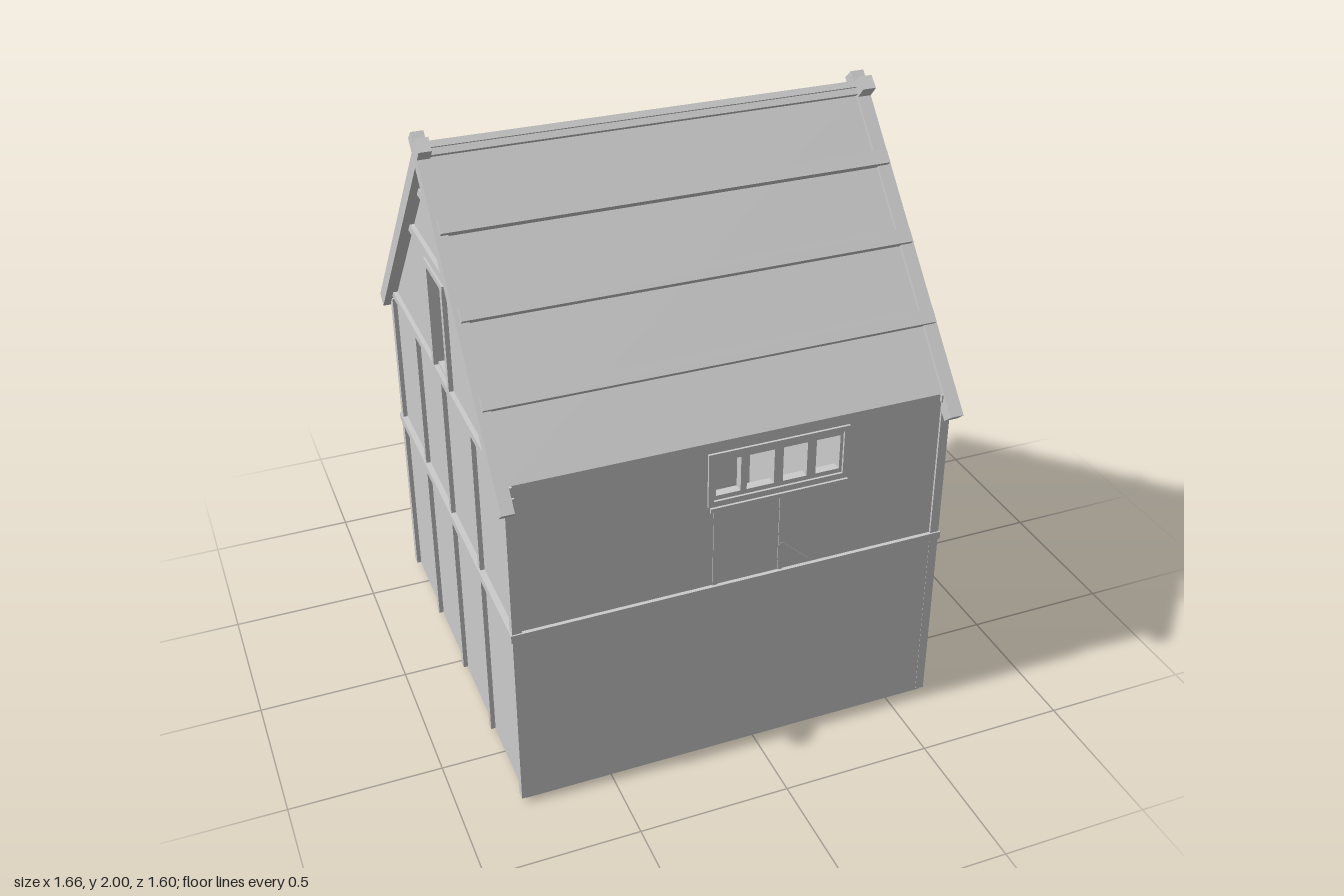
import * as THREE from 'three';

const material = new THREE.MeshStandardMaterial({ color: 0xcccccc, flatShading: true });
const RIDGE_Z = 0.06;
const SLOPE = Math.atan(1.117);

export function createModel() {
  const house = new THREE.Group();
  house.name = 'timberHouse';

  function add(name, geometry, parent = house) {
    const mesh = new THREE.Mesh(geometry, material);
    mesh.name = name;
    parent.add(mesh);
    return mesh;
  }

  // Box given by its lower and upper limits on each axis
  function box(name, x0, x1, y0, y1, z0, z1, parent) {
    const g = new THREE.BoxGeometry(x1 - x0, y1 - y0, z1 - z0);
    g.translate((x0 + x1) / 2, (y0 + y1) / 2, (z0 + z1) / 2);
    return add(name, g, parent);
  }

  // Flat wall with rectangular openings [u0, u1, v0, v1]
  function wallGeometry(points, openings, depth) {
    const shape = new THREE.Shape(points.map(([u, v]) => new THREE.Vector2(u, v)));
    for (const [u0, u1, v0, v1] of openings) {
      shape.holes.push(new THREE.Path([[u0, v0], [u0, v1], [u1, v1], [u1, v0]].map(([u, v]) => new THREE.Vector2(u, v))));
    }
    return new THREE.ExtrudeGeometry(shape, { depth, bevelEnabled: false });
  }

  // A row of equal panes between x0 and x1
  function paneRow(x0, x1, y0, y1, count, gap) {
    const w = (x1 - x0 - gap * (count - 1)) / count;
    return Array.from({ length: count }, (_, i) => [x0 + i * (w + gap), x0 + i * (w + gap) + w, y0, y1]);
  }

  // Straight square strut between two points
  function strut(name, a, b, size) {
    const from = new THREE.Vector3(...a), to = new THREE.Vector3(...b);
    const mesh = add(name, new THREE.BoxGeometry(size, size, from.distanceTo(to)));
    mesh.position.copy(from).add(to).multiplyScalar(0.5);
    mesh.lookAt(to);
  }

  // Four thin bars around an opening on a front or back wall
  function frame(name, x0, x1, y0, y1, z0, z1, t = 0.018) {
    box(name, x0 - t, x1 + t, y1, y1 + t, z0, z1);
    box(name, x0 - t, x1 + t, y0 - t, y0, z0, z1);
    box(name, x0 - t, x0, y0, y1, z0, z1);
    box(name, x1, x1 + t, y0, y1, z0, z1);
  }

  // Front and back walls
  const rect = [[-0.79, 0.02], [0.61, 0.02], [0.61, 1.19], [-0.79, 1.19]];
  const frontPanes = [[-0.15, -0.07, 1, 1.12], [-0.05, 0.04, 1, 1.12], [0.07, 0.15, 1, 1.12], [0.18, 0.26, 1, 1.12]];
  add('frontWall', wallGeometry(rect, frontPanes, 0.03)).position.z = 0.71;
  const door = [0.21, 0.35, 0.025, 0.39];
  add('backWall', wallGeometry(rect, [
    ...paneRow(0.24, 0.43, 0.95, 1.02, 3, 0.02),
    ...paneRow(-0.44, 0.04, 1.02, 1.09, 5, 0.025),
    ...paneRow(-0.13, 0.05, 0.21, 0.31, 3, 0.018),
    ...paneRow(-0.72, -0.5, 0.21, 0.31, 4, 0.018),
    door,
  ], 0.03)).position.z = -0.62;

  // Gable walls with a loft opening each
  const gable = [[-0.62, 0.02], [0.74, 0.02], [0.74, 1.15], [RIDGE_Z, 1.91], [-0.62, 1.15]];
  for (const x of [0.61, -0.76]) {
    const g = wallGeometry(gable, [[-0.02, 0.14, 1.2, 1.53]], 0.03);
    g.rotateY(-Math.PI / 2);
    add('gableWall', g).position.x = x;
  }

  // Floor, ground beams and plain lower storey facing
  box('floor', -0.79, 0.62, 0.015, 0.035, -0.62, 0.745);
  for (const z of [0.3, -0.235]) box('groundBeam', -0.48, 0.6, 0, 0.02, z - 0.01, z + 0.01);
  box('rightPlinth', 0.605, 0.632, 0.02, 0.65, -0.625, 0.747);
  box('frontPlinth', -0.79, 0.632, 0.02, 0.65, 0.735, 0.747);

  // Corner posts
  for (const [x0, x1] of [[-0.805, -0.775], [0.605, 0.635]]) {
    box('cornerPost', x0, x1, 0.02, 1.15, 0.72, 0.748);
    box('cornerPost', x0, x1, 0.02, 1.15, -0.632, -0.6);
  }

  // Storey band around the house
  box('storeyBand', -0.81, 0.64, 0.645, 0.672, 0.73, 0.753);
  box('storeyBand', -0.81, 0.64, 0.645, 0.672, -0.637, -0.61);
  box('storeyBand', 0.6, 0.64, 0.645, 0.672, -0.63, 0.75);
  box('storeyBand', -0.81, -0.78, 0.645, 0.672, -0.63, 0.75);

  // Side timbers
  for (const z of [0.6, 0.243, -0.118, -0.483]) box('rightPost', 0.6, 0.63, 0.67, 1.17, z - 0.012, z + 0.012);
  for (const z of [-0.28, 0.05, 0.39]) box('leftPost', -0.805, -0.78, 0.02, 1.17, z - 0.012, z + 0.012);
  for (const [x0, x1] of [[0.6, 0.63], [-0.805, -0.78]]) {
    box('tieBeam', x0, x1, 1.165, 1.19, -0.63, 0.75);
    box('collarBeam', x0, x1, 1.57, 1.6, -0.25, 0.37);
    box('collarBeam', x0, x1, 1.76, 1.79, -0.09, 0.21);
    box('loftLintel', x0, x1 + 0.002, 1.535, 1.555, -0.05, 0.17);
    for (const z of [-0.032, 0.152]) box('loftJamb', x0, x1, 1.19, 1.535, z - 0.012, z + 0.012);
  }

  // Front window surround and shallow framing under it
  frame('frontWindowFrame', -0.16, 0.27, 0.985, 1.135, 0.735, 0.748);
  box('frontSill', -0.17, 0.29, 0.945, 0.96, 0.735, 0.748);
  for (const x of [-0.15, 0.07]) box('frontStud', x - 0.008, x + 0.008, 0.67, 0.95, 0.735, 0.743);
  strut('frontBrace', [0.07, 0.77, 0.738], [0.17, 0.68, 0.738], 0.012);

  // Back timbers and window surrounds
  for (const x of [0.17, -0.27]) box('backPost', x - 0.012, x + 0.012, x > 0 ? 0.67 : 0.02, x > 0 ? 1.17 : 0.65, -0.632, -0.61);
  box('backStud', 0.33, 0.35, 0.4, 0.65, -0.63, -0.61);
  box('backStud', 0.06, 0.08, 0.4, 0.65, -0.63, -0.61);
  box('backRail', -0.79, 0.61, 0.395, 0.415, -0.63, -0.61);
  box('backRail', -0.79, 0.15, 0.965, 0.985, -0.63, -0.61);
  box('backWallPlate', -0.79, 0.61, 1.13, 1.16, -0.63, -0.61);
  frame('backWindowFrame', 0.23, 0.44, 0.94, 1.03, -0.632, -0.61);
  frame('backWindowFrame', -0.45, 0.05, 1.01, 1.1, -0.632, -0.61);
  frame('backWindowFrame', -0.14, 0.06, 0.2, 0.32, -0.632, -0.61);
  frame('backWindowFrame', -0.73, -0.49, 0.2, 0.32, -0.632, -0.61);
  for (const x of [0.2, 0.36]) box('doorJamb', x - 0.01, x + 0.01, 0.02, 0.4, -0.635, -0.59);
  box('doorSill', 0.19, 0.37, 0.01, 0.03, -0.64, -0.55);

  // Back canopy over the door
  box('backCanopy', -0.3, 0.2, 0.418, 0.432, -0.8, -0.62);
  for (const x of [-0.25, 0.15]) {
    box('canopyArm', x - 0.01, x + 0.01, 0.398, 0.418, -0.77, -0.62);
    strut('canopyBrace', [x, 0.3, -0.62], [x, 0.405, -0.74], 0.02);
  }

  // Loading shelf under the loft opening
  box('loftShelf', 0.61, 0.83, 1.176, 1.19, -0.12, 0.23);
  for (const z of [0.175, -0.05]) {
    box('shelfArm', 0.62, 0.77, 1.16, 1.176, z - 0.011, z + 0.011);
    strut('shelfBrace', [0.63, 1.07, z], [0.735, 1.168, z], 0.022);
  }

  // Roof halves: local z runs down the slope, local y points out of it
  for (const side of [1, -1]) {
    const half = new THREE.Group();
    half.name = side > 0 ? 'frontRoof' : 'backRoof';
    half.position.set(0, 1.95, RIDGE_Z);
    half.rotation.order = 'YXZ';
    half.rotation.set(SLOPE, side > 0 ? 0 : Math.PI, 0);
    const span = (name, x0, x1, y0, y1, z0, z1) =>
      box(name, side > 0 ? x0 : -x1, side > 0 ? x1 : -x0, y0, y1, z0, z1, half);
    span('roofPanel', -0.8, 0.62, -0.025, 0, 0, 1.02);
    for (const z of [0.25, 0.515, 0.78]) span('roofBatten', -0.815, 0.64, -0.005, 0.032, z - 0.025, z + 0.02);
    span('ridgeBatten', -0.81, 0.63, -0.005, 0.015, -0.02, 0.025);
    for (const [x0, x1] of [[-0.83, -0.79], [0.605, 0.65]]) span('bargeBoard', x0, x1, -0.035, 0.012, -0.055, 1.1);
    house.add(half);
  }
  return house;
}
